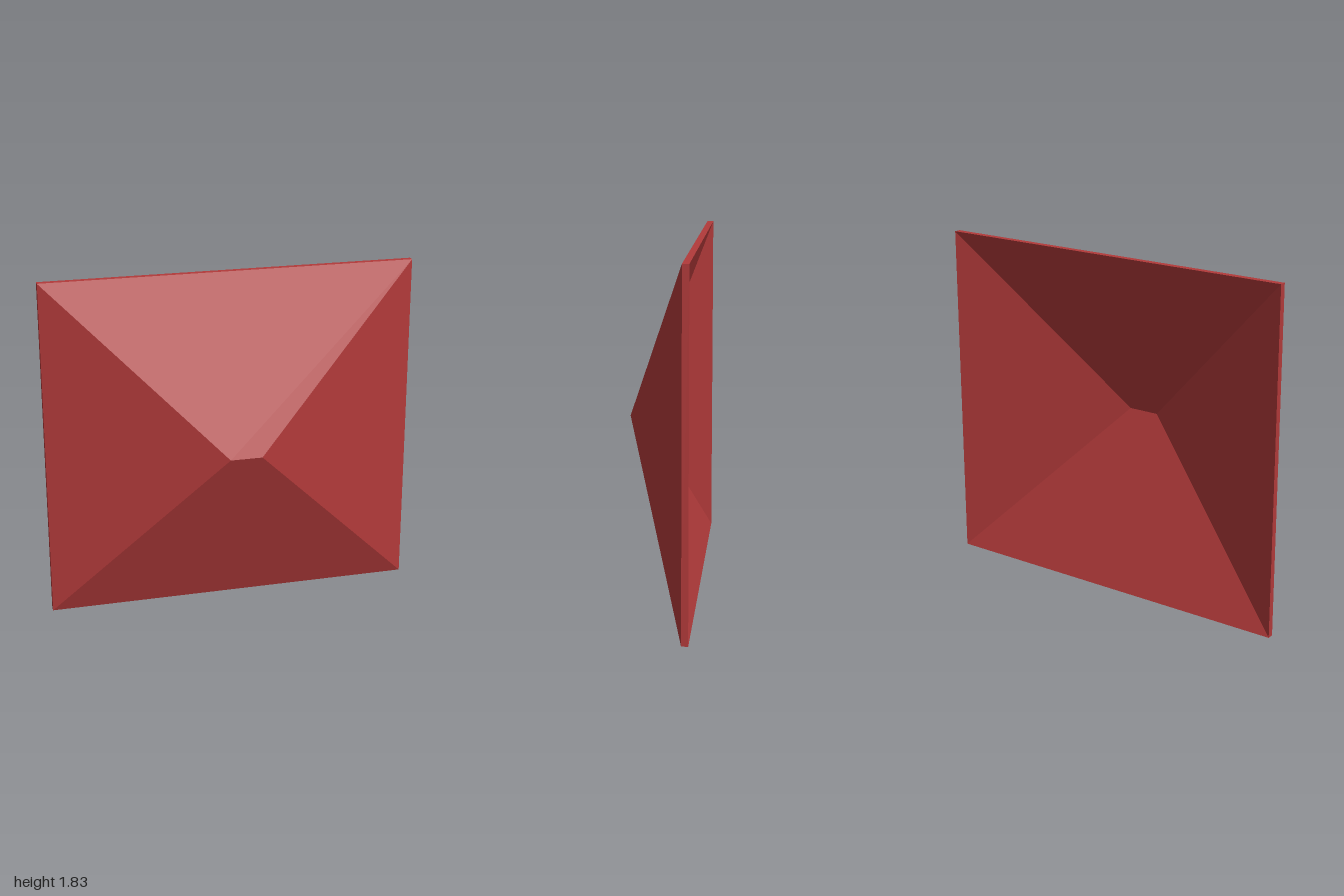
import * as THREE from 'three';

const W = 1, H = 1.83, RIDGE = 0.085; // half width, height, half ridge length
const APEX = 0.185, RIM = -0.151, T = 0.034; // ridge depth, rim depth, sheet thickness

export function createModel() {
  const material = new THREE.MeshStandardMaterial({ color: 0xb23a3a, flatShading: true });

  // one skin of the hipped sheet: four rim corners, then the two ridge ends
  const skin = (dz) => [
    [-W, 0, RIM - dz], [W, 0, RIM - dz], [W, H, RIM - dz], [-W, H, RIM - dz],
    [-RIDGE, H / 2, APEX - dz], [RIDGE, H / 2, APEX - dz],
  ];
  const points = [...skin(0), ...skin(T)];

  // bottom, right, top and left slopes, counter-clockwise from the front
  const slopes = [0, 1, 5, 0, 5, 4, 1, 2, 5, 2, 3, 4, 2, 4, 5, 3, 0, 4];
  const index = [...slopes];

  // hollow back: the same slopes with reversed winding
  for (let i = 0; i < slopes.length; i += 3) {
    index.push(slopes[i] + 6, slopes[i + 2] + 6, slopes[i + 1] + 6);
  }

  // thin edge joining the two skins around the rim
  for (let i = 0; i < 4; i++) {
    const j = (i + 1) % 4;
    index.push(i, i + 6, j + 6, i, j + 6, j);
  }

  const shared = new THREE.BufferGeometry();
  shared.setAttribute('position', new THREE.Float32BufferAttribute(points.flat(), 3));
  shared.setIndex(index);
  const geometry = shared.toNonIndexed();
  geometry.computeVertexNormals();

  const panel = new THREE.Mesh(geometry, material);
  panel.name = 'hippedPanel';
  const group = new THREE.Group();
  group.name = 'hippedRoofPanel';
  group.add(panel);
  return group;
}
